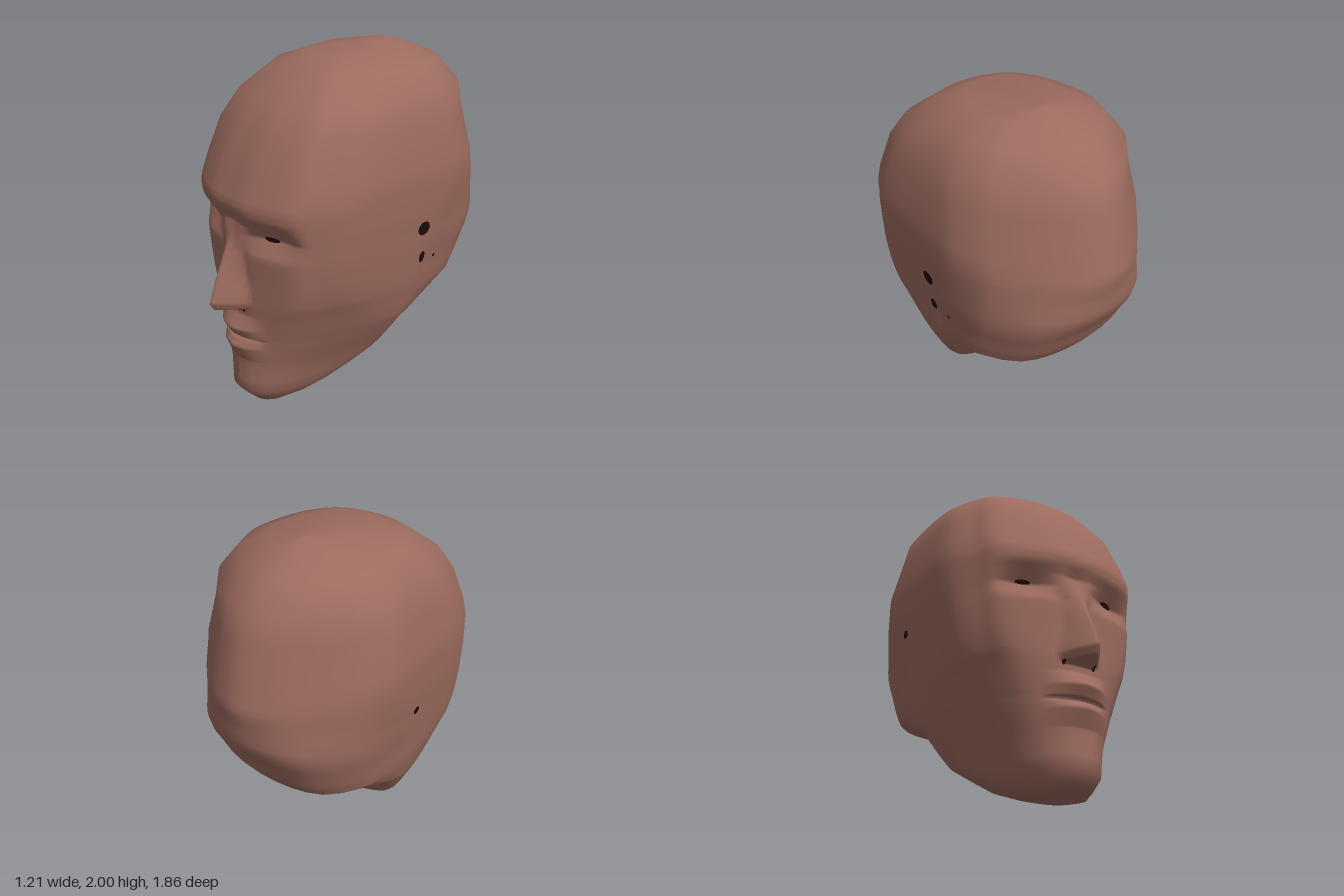
import * as THREE from 'three';

const skin = new THREE.MeshStandardMaterial({ name: 'skin', color: 0x9c6b5e });
const dark = new THREE.MeshStandardMaterial({ name: 'darkOpening', color: 0x1e0c0b, side: THREE.DoubleSide });

// Levels of the head: height, front z, back z, half width, z of widest point,
// then shape of the front and of the back (0 jaw, 1 skull)
const LEVELS = [
  [0, 0.68, 0.5, 0.13, 0.58, 0, 0],
  [0.04, 0.72, 0.3, 0.2, 0.45, 0, 0],
  [0.1, 0.77, 0.14, 0.26, 0.35, 0, 0],
  [0.25, 0.765, -0.08, 0.36, 0.08, 0, 0],
  [0.46, 0.765, -0.2, 0.48, -0.02, 0.08, 0],
  [0.5, 0.765, -0.3, 0.5, -0.05, 0.15, 0],
  [0.65, 0.765, -0.69, 0.54, -0.08, 0.5, 0],
  [0.72, 0.76, -0.74, 0.553, -0.08, 0.7, 0],
  [0.85, 0.755, -0.805, 0.568, -0.09, 0.9, 0],
  [1.03, 0.755, -0.9, 0.585, -0.12, 1, 0.3],
  [1.15, 0.772, -0.915, 0.597, -0.18, 1, 0.6],
  [1.25, 0.79, -0.93, 0.602, -0.23, 1, 0.85],
  [1.4, 0.735, -0.9, 0.605, -0.25, 1, 1],
  [1.61, 0.645, -0.85, 0.565, -0.2, 0.9, 1],
  [1.76, 0.53, -0.79, 0.53, -0.2, 0.7, 0.8],
  [1.9, 0.34, -0.65, 0.42, -0.18, 0.4, 0.8],
  [1.96, 0.18, -0.49, 0.27, -0.2, 0.1, 0.8],
  [2.0, -0.3, -0.36, 0.03, -0.33, 1, 1],
];

// Half outlines from front centre to back centre: share of half width, 1 front to -1 back
const SKULL = [[0, 1], [0.28, 0.99], [0.67, 0.9], [0.82, 0.77], [0.95, 0.6], [0.985, 0.37],
  [1, 0], [0.97, -0.22], [0.82, -0.5], [0.5, -0.78], [0.22, -0.95], [0, -1]];
const JAW = [[0, 1], [0.25, 0.97], [0.5, 0.87], [0.7, 0.7], [0.84, 0.48], [0.95, 0.22],
  [1, 0], [0.98, -0.25], [0.89, -0.6], [0.63, -0.88], [0.3, -0.98], [0, -1]];

// Height profiles of the features: height, amount
const NOSE = [[0.64, 0], [0.655, 0.14], [0.7, 0.17], [0.82, 0.135], [1.0, 0.055], [1.15, -0.026], [1.22, 0]];
const NOSE_WIDTH = [[0.64, 0.1], [0.69, 0.125], [0.74, 0.12], [0.82, 0.1], [1.0, 0.08], [1.15, 0.16]];
const LIPS = [[0.3, 0], [0.4, 0.045], [0.44, 0.012], [0.45, -0.035], [0.465, 0.022], [0.52, 0.055], [0.6, 0]];

// Linear lookup in rows sorted by their first number
function lookup(rows, y, c = 1) {
  if (y <= rows[0][0]) return rows[0][c];
  const i = rows.findIndex((r) => y <= r[0]);
  if (i < 0) return rows[rows.length - 1][c];
  return THREE.MathUtils.mapLinear(y, rows[i - 1][0], rows[i][0], rows[i - 1][c], rows[i][c]);
}

// Smooth lookup in the levels that never overshoots them
function levelAt(y, c) {
  // The nape and the underside of the jaw stay angular
  if (c === 2 && y <= 0.72) return lookup(LEVELS, y, c);
  const last = LEVELS.length - 1;
  const i = Math.max(1, LEVELS.findIndex((r) => y <= r[0]));
  const slope = (j) => (LEVELS[j][c] - LEVELS[j - 1][c]) / (LEVELS[j][0] - LEVELS[j - 1][0]);
  const tangent = (j) => {
    if (j === 0) return slope(1);
    if (j === last) return slope(last);
    const a = slope(j), b = slope(j + 1);
    return a * b > 0 ? 2 * a * b / (a + b) : 0;
  };
  const [y0, y1] = [LEVELS[i - 1][0], LEVELS[i][0]];
  const h = y1 - y0, t = (y - y0) / h, s = 1 - t;
  return (1 + 2 * t) * s * s * LEVELS[i - 1][c] + t * s * s * h * tangent(i - 1)
    + t * t * (3 - 2 * t) * LEVELS[i][c] - t * t * s * h * tangent(i);
}

// Forward push of nose, lips and eye sockets
function relief(x, y) {
  const nose = lookup(NOSE, y) * Math.max(0, 1 - (x / lookup(NOSE_WIDTH, y)) ** 1.2);
  const lips = lookup(LIPS, y) * Math.max(0, 1 - (x / 0.2) ** 2) ** 1.3;
  const rise = y - 1.09;
  const socket = Math.max(0, 1 - Math.abs(rise) / (rise > 0 ? 0.11 : 0.1))
    * Math.max(0, 1 - ((x - 0.27) / 0.2) ** 2) ** 1.2;
  return nose + lips - 0.065 * socket;
}

// Column positions: fine over the face, coarse behind
const columns = [];
for (let seg = 0; seg < 11; seg++) {
  const parts = seg < 4 ? 9 : seg < 8 ? 4 : 2;
  for (let j = 0; j < parts; j++) columns.push((seg + j / parts) / 11);
}
columns.push(1);

function halfRing(y) {
  const [zf, zb, w, zw, front, back] = [1, 2, 3, 4, 5, 6].map((c) => levelAt(y, c));
  const curve = new THREE.SplineCurve(SKULL.map((p, i) => new THREE.Vector2(...JAW[i])
    .lerp(new THREE.Vector2(...p), i < 7 ? front : back)));
  // The skull steps in slightly behind the jaw edge
  const step = 0.025 * THREE.MathUtils.smoothstep(y, 0.4, 0.6) * (1 - THREE.MathUtils.smoothstep(y, 0.75, 1.0));
  return columns.map((t) => {
    const p = curve.getPoint(t), s = p.y;
    const x = w * THREE.MathUtils.clamp(p.x, 0, 1) * (1 - step * THREE.MathUtils.smoothstep(-s, 0.02, 0.1));
    const z = s > 0 ? zw + (zf - zw) * s + relief(x, y) : zw + (zw - zb) * s;
    return [x, z];
  });
}

function headGeometry() {
  // Heights: the main levels plus fine steps across the face
  const heights = new Set(LEVELS.map((l) => l[0]));
  for (let i = 30; i < 72; i++) heights.add(i / 100);
  for (let i = 74; i <= 130; i += 2) heights.add(i / 100);
  [0.17, 0.465, 0.645, 0.655, 1.09].forEach((y) => heights.add(y));
  const ys = [...heights].sort((a, b) => a - b);

  const positions = [], index = [];
  const half = columns.length - 1, n = half * 2;
  for (const y of ys) {
    const ring = halfRing(y);
    for (let i = 0; i < n; i++) {
      const [x, z] = ring[i <= half ? i : n - i];
      const centre = i === 0 || i === half;
      positions.push(centre ? 0 : i < half ? x : -x, y, z);
    }
  }
  for (let r = 0; r < ys.length - 1; r++) {
    for (let i = 0; i < n; i++) {
      const a = r * n + i, b = r * n + (i + 1) % n;
      index.push(a, b, b + n, a, b + n, a + n);
    }
  }
  // Close the chin and the crown
  const bottom = positions.length / 3, top = bottom + 1, last = (ys.length - 1) * n;
  positions.push(0, 0, 0.58, 0, 2, -0.33);
  for (let i = 0; i < n; i++) {
    const j = (i + 1) % n;
    index.push(bottom, j, i, top, last + i, last + j);
  }
  const geometry = new THREE.BufferGeometry();
  geometry.setAttribute('position', new THREE.Float32BufferAttribute(positions, 3));
  geometry.setIndex(index);
  geometry.computeVertexNormals();
  return geometry;
}

// Thin dark oval laid onto the head, seen from the front or from one side
function opening(head, name, axis, side, u, y, ru, ry) {
  const geometry = new THREE.CircleGeometry(1, 16);
  const pos = geometry.attributes.position;
  const ray = new THREE.Raycaster();
  const out = axis === 'front' ? new THREE.Vector3(0, 0, 1) : new THREE.Vector3(side, 0, 0);
  for (let i = 0; i < pos.count; i++) {
    const a = u + pos.getX(i) * ru, h = y + pos.getY(i) * ry;
    const from = axis === 'front' ? new THREE.Vector3(side * a, h, 3) : new THREE.Vector3(side * 3, h, a);
    ray.set(from, out.clone().negate());
    const p = ray.intersectObject(head)[0].point.addScaledVector(out, 0.006);
    pos.setXYZ(i, p.x, p.y, p.z);
  }
  geometry.computeVertexNormals();
  const mesh = new THREE.Mesh(geometry, dark);
  mesh.name = name;
  return mesh;
}

export function createModel() {
  const model = new THREE.Group();
  model.name = 'head';
  const head = new THREE.Mesh(headGeometry(), skin);
  head.name = 'skullAndFace';
  head.updateMatrixWorld(true);
  model.add(head);

  // Openings, some of them on one side only
  model.add(
    opening(head, 'leftEyeSlit', 'front', 1, 0.25, 1.092, 0.045, 0.015),
    opening(head, 'rightEyeSlit', 'front', -1, 0.28, 1.095, 0.04, 0.012),
    opening(head, 'leftNostril', 'front', 1, 0.08, 0.638, 0.009, 0.014),
    opening(head, 'rightNostril', 'front', -1, 0.1, 0.64, 0.01, 0.014),
    opening(head, 'leftEarHole', 'side', 1, -0.11, 1.045, 0.045, 0.042),
    opening(head, 'leftLowerEarHole', 'side', 1, -0.122, 0.86, 0.024, 0.036),
    opening(head, 'leftSmallEarHole', 'side', 1, -0.24, 0.83, 0.012, 0.01),
    opening(head, 'rightEarHole', 'side', -1, -0.11, 1.045, 0.026, 0.024),
  );
  return model;
}
